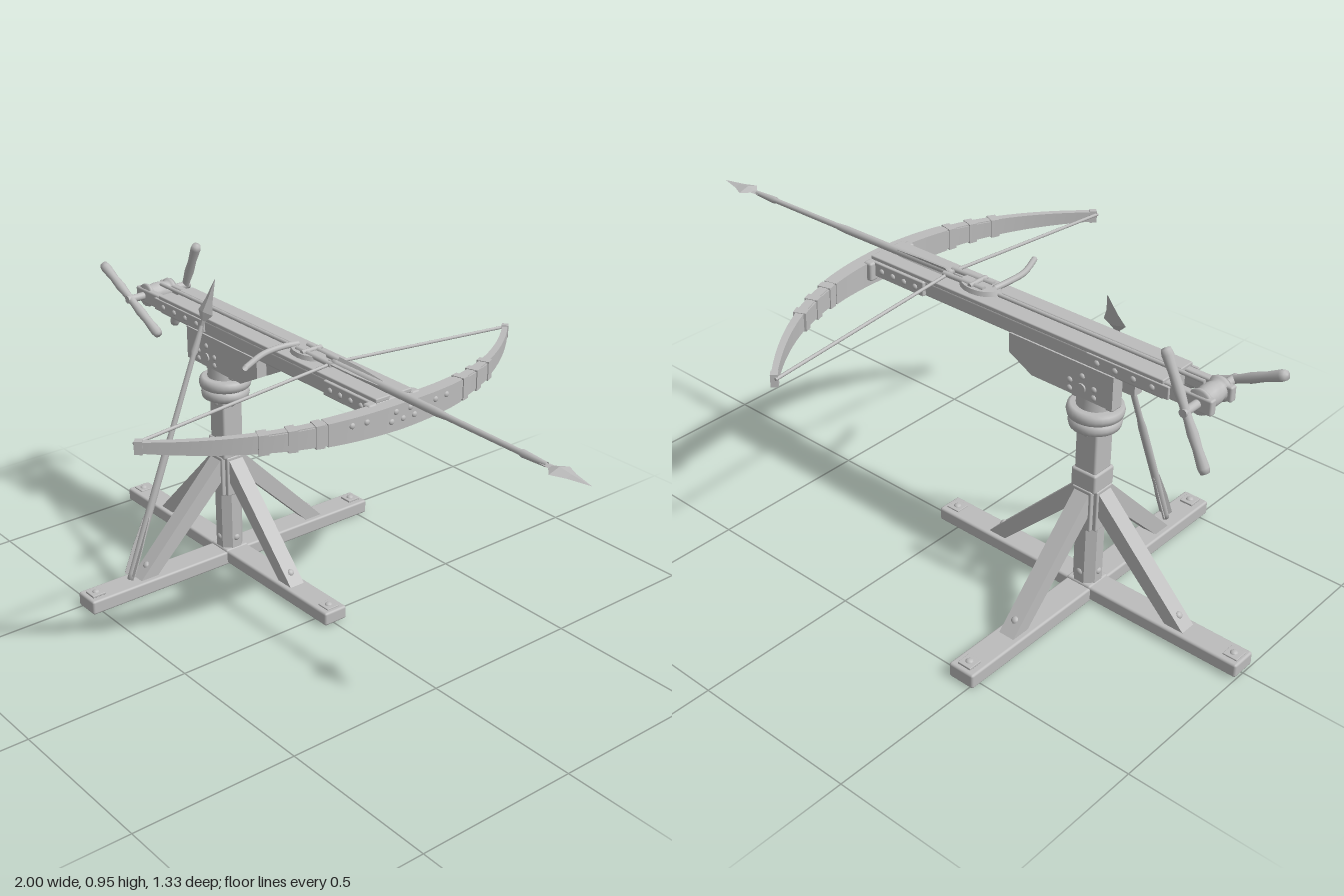
import * as THREE from 'three';
import { RoundedBoxGeometry } from 'three/addons/geometries/RoundedBoxGeometry.js';

const grey = new THREE.MeshStandardMaterial({ color: 0xbcbcbc, side: THREE.DoubleSide });
grey.name = 'plain grey';
const PX = -0.47; // x of the standing post

function add(parent, name, geo, x = 0, y = 0, z = 0) {
  const m = new THREE.Mesh(geo, grey);
  m.name = name;
  m.position.set(x, y, z);
  parent.add(m);
  return m;
}
// Softly rounded box given by its limits on each axis
function block(parent, name, x0, x1, y0, y1, z0, z1) {
  const w = x1 - x0, h = y1 - y0, d = z1 - z0;
  const geo = new RoundedBoxGeometry(w, h, d, 2, Math.min(0.007, 0.25 * Math.min(w, h, d)));
  return add(parent, name, geo, (x0 + x1) / 2, (y0 + y1) / 2, (z0 + z1) / 2);
}
// Round rod between two points
function rod(parent, name, a, b, r, sides = 10) {
  const A = new THREE.Vector3(...a), B = new THREE.Vector3(...b), d = B.clone().sub(A);
  const m = add(parent, name, new THREE.CylinderGeometry(r, r, d.length(), sides));
  m.position.copy(A).lerp(B, 0.5);
  m.quaternion.setFromUnitVectors(new THREE.Vector3(0, 1, 0), d.normalize());
}
const lathe = (pts, sides) => new THREE.LatheGeometry(pts.map(p => new THREE.Vector2(...p)), sides);
const outline = pts => new THREE.Shape(pts.map(p => new THREE.Vector2(...p)));
const plate = (pts, depth) => new THREE.ExtrudeGeometry(outline(pts), { depth, bevelEnabled: false });
// Flattened bolt head facing along a direction
function stud(parent, pos, dir, r = 0.009) {
  const m = add(parent, 'stud', new THREE.SphereGeometry(r, 10, 5, 0, Math.PI * 2, 0, Math.PI / 2), ...pos);
  m.scale.y = 0.7;
  m.quaternion.setFromUnitVectors(new THREE.Vector3(0, 1, 0), new THREE.Vector3(...dir).normalize());
}

// Spear standing along +y with its tail at the origin and a flat head wide in z
function makeSpear(name) {
  const g = new THREE.Group();
  g.name = name;
  add(g, 'shaft', lathe([[0, 0], [0.01, 0], [0.01, 0.02], [0.012, 0.2], [0.012, 0.42], [0.009, 0.46], [0.008, 0.72], [0.011, 0.73], [0.007, 0.81]], 10));
  const head = lathe([[0.008, 0.79], [0.012, 0.825], [0.036, 0.85], [0.018, 0.89], [0, 0.956]], 4).toNonIndexed();
  head.scale(0.3, 1, 1);
  head.computeVertexNormals();
  add(g, 'spearhead', head);
  for (let i = 0; i < 3; i++) {
    const v = add(g, 'vane', plate([[0, 0.01], [0.021, 0.015], [0.02, 0.1], [0.013, 0.2], [0, 0.25]], 0.004));
    v.rotation.y = Math.PI / 6 + i * Math.PI * 2 / 3;
  }
  return g;
}

// Crossed feet, post and four braces
function makeStand() {
  const g = new THREE.Group();
  g.name = 'stand';
  block(g, 'footBeam', PX - 0.53, PX + 0.533, 0.006, 0.048, -0.04, 0.04);
  block(g, 'crossBeam', PX - 0.042, PX + 0.042, 0, 0.045, -0.533, 0.533);
  block(g, 'centreJoint', PX - 0.042, PX + 0.042, 0.002, 0.052, -0.042, 0.042);
  const post = add(g, 'lowerPost', new THREE.CylinderGeometry(0.042, 0.042, 0.33, 8).toNonIndexed(), PX, 0.21, 0);
  post.geometry.computeVertexNormals();
  post.rotation.y = Math.PI / 8;
  block(g, 'postCollar', PX - 0.042, PX + 0.042, 0.365, 0.425, -0.042, 0.042);
  block(g, 'upperPost', PX - 0.036, PX + 0.036, 0.42, 0.56, -0.036, 0.036);

  for (let i = 0; i < 4; i++) {
    const arm = new THREE.Group();
    arm.name = 'braceArm';
    arm.position.x = PX;
    arm.rotation.y = i * Math.PI / 2;
    // Brace cut flush with the foot and the post
    add(arm, 'brace', plate([[0.35, 0.045], [0.29, 0.045], [0.035, 0.295], [0.035, 0.37]], 0.05), 0, 0, -0.025);
    block(arm, 'braceBracket', 0.03, 0.045, 0.24, 0.37, -0.033, 0.033);
    block(arm, 'footPlate', 0.475, 0.52, 0.045, 0.052, -0.022, 0.022);
    stud(arm, [0.497, 0.05, 0], [0, 1, 0], 0.012);
    stud(arm, [0.315, 0.079, 0], [1, 1, 0], 0.011);
    stud(arm, [0.037, 0.085, 0], [1, 0, 0], 0.011);
    stud(arm, [0.035, 0.545, 0], [1, 0, 0], 0.011);
    g.add(arm);
  }
  return g;
}

// Turning rings and the cheeks that hold the stock
function makeSwivel() {
  const g = new THREE.Group();
  g.name = 'swivel';
  for (const [y, r, h] of [[0.575, 0.074, 0.018], [0.609, 0.08, 0.018]]) {
    add(g, 'swivelRing', lathe([[0, -h], [r - 0.012, -h], [r - 0.003, -h * 0.7], [r, 0], [r - 0.003, h * 0.7], [r - 0.012, h], [0, h]], 28), PX, y, 0);
  }
  add(g, 'swivelNeck', new THREE.CylinderGeometry(0.05, 0.055, 0.06, 20), PX, 0.645, 0);
  block(g, 'tongue', PX - 0.07, PX + 0.07, 0.63, 0.77, -0.022, 0.022);
  const cheek = [[-0.57, 0.67], [-0.3, 0.67], [-0.22, 0.712], [-0.22, 0.77], [-0.57, 0.77]];
  for (const k of [-1, 1]) {
    add(g, 'cheek', plate(cheek, 0.034), 0, 0, k * 0.048 - 0.017);
    for (const [x, y] of [[-0.51, 0.71], [-0.43, 0.71], [-0.47, 0.735], [-0.51, 0.685], [-0.43, 0.685]]) stud(g, [x, y, k * 0.065], [0, 0, k]);
  }
  rod(g, 'pivotPin', [PX, 0.7, -0.07], [PX, 0.7, 0.07], 0.014);
  return g;
}

// Stock with rails, side plates and trigger
function makeStock() {
  const g = new THREE.Group();
  g.name = 'stock';
  block(g, 'stockBeam', -0.72, 0.3, 0.765, 0.812, -0.06, 0.06);
  for (const k of [-1, 1]) {
    const side = (n, x0, x1, y0, y1, a, b) => block(g, n, x0, x1, y0, y1, Math.min(k * a, k * b), Math.max(k * a, k * b));
    side('topRail', -0.72, 0.3, 0.81, 0.823, 0.014, 0.063);
    side('tailFork', -0.86, -0.7, 0.77, 0.815, 0.032, 0.055);
    side('rearPlate', -0.74, -0.48, 0.775, 0.812, 0.058, 0.067);
    side('frontPlate', 0.09, 0.3, 0.768, 0.812, 0.058, 0.072);
    side('bowBracket', 0.275, 0.305, 0.755, 0.812, 0.06, 0.09);
    for (let i = 0; i < 4; i++) {
      stud(g, [-0.69 + i * 0.058, 0.793, k * 0.067], [0, 0, k]);
      stud(g, [0.12 + i * 0.043, 0.79, k * 0.072], [0, 0, k]);
    }
  }
  const lock = add(g, 'triggerLock', new THREE.CylinderGeometry(0.042, 0.046, 0.016, 16), -0.06, 0.828, 0);
  lock.scale.x = 1.5;
  for (const k of [-1, 1]) rod(g, 'claw', [-0.09, 0.836, k * 0.02], [0.06, 0.832, k * 0.018], 0.008);
  rod(g, 'triggerPin', [-0.05, 0.838, -0.035], [-0.05, 0.838, 0.035], 0.007);
  const path = new THREE.CatmullRomCurve3([[-0.11, 0.838, 0], [-0.115, 0.84, 0.05], [-0.11, 0.838, 0.12], [-0.07, 0.832, 0.215]].map(p => new THREE.Vector3(...p)));
  add(g, 'triggerLever', new THREE.TubeGeometry(path, 16, 0.009, 8));
  rod(g, 'drawRope', [-0.8, 0.824, 0], [-0.1, 0.824, 0], 0.006);
  return g;
}

// Winch drum with a two-ended handle on each side
function makeWinch() {
  const g = new THREE.Group();
  g.name = 'winch';
  g.position.set(-0.818, 0.793, 0);
  rod(g, 'axle', [0, 0, -0.115], [0, 0, 0.115], 0.012, 14);
  const drum = add(g, 'drum', lathe([[0, -0.052], [0.034, -0.05], [0.037, -0.042], [0.034, -0.034], [0.028, -0.03], [0.032, -0.01], [0.032, 0.01], [0.028, 0.03], [0.034, 0.034], [0.037, 0.042], [0.034, 0.05], [0, 0.052]], 18));
  drum.rotation.x = Math.PI / 2;
  const profile = [[0, -0.168], [0.013, -0.165], [0.016, -0.15], [0.013, -0.1], [0.015, -0.06], [0.012, -0.02], [0.012, 0.02], [0.015, 0.06], [0.013, 0.1], [0.016, 0.15], [0.013, 0.165], [0, 0.168]];
  for (const [z, a] of [[0.102, 1.12], [-0.102, -0.445]]) add(g, 'handle', lathe(profile, 12), 0, 0, z).rotation.z = a;
  return g;
}

// Curved bow with layered centre, bands, studs and string
function makeBow() {
  const g = new THREE.Group();
  g.name = 'bow';
  const L = 0.655;
  const midX = z => 0.315 - 0.26 * Math.pow(Math.abs(z) / L, 2.36);
  const halfY = z => 0.036 - 0.021 * Math.pow(Math.abs(z) / L, 1.4);
  // Bend a segmented bar from z0 to z1 along the curve
  const bar = (name, z0, z1, thick, extra) => {
    const geo = new THREE.BoxGeometry(2, 2, 1, 1, 1, Math.max(2, Math.ceil((z1 - z0) * 40)));
    const p = geo.attributes.position;
    for (let i = 0; i < p.count; i++) {
      const z = z0 + (z1 - z0) * (p.getZ(i) + 0.5);
      const slope = (midX(z + 0.002) - midX(z - 0.002)) / 0.004, n = Math.hypot(1, slope);
      const t = p.getX(i) * (thick - 0.009 * Math.abs(z) / L);
      p.setXYZ(i, midX(z) + t / n, 0.772 + p.getY(i) * (halfY(z) + extra), z - t * slope / n);
    }
    geo.computeVertexNormals();
    add(g, name, geo);
  };
  bar('bowLimbs', -L, L, 0.017, 0);
  bar('bowReinforcement', -0.4, 0.4, 0.021, -0.003);
  bar('bowCentre', -0.23, 0.23, 0.023, 0.001);
  for (const k of [-1, 1]) {
    for (const z of [0.25, 0.32, 0.39]) bar('bowBand', k * z - 0.012, k * z + 0.012, 0.024, 0.002);
    bar('bowTip', k * 0.648 - 0.008, k * 0.648 + 0.008, 0.019, 0.003);
    for (const z of [0.12, 0.165]) stud(g, [midX(z) + 0.02, 0.785, k * z], [1, 0, 0]);
    rod(g, 'bowstring', [0.05, 0.778, k * 0.655], [0.05, 0.832, 0], 0.005, 8);
  }
  for (const [y, z] of [[0.79, -0.025], [0.79, 0.025], [0.765, -0.04], [0.765, 0], [0.765, 0.04]]) stud(g, [0.336, y, z], [1, 0, 0]);
  return g;
}

export function createModel() {
  const model = new THREE.Group();
  model.name = 'ballista';
  model.add(makeStand(), makeSwivel(), makeStock(), makeWinch(), makeBow());

  const loaded = makeSpear('loadedSpear');
  loaded.position.set(0.045, 0.83, 0);
  loaded.rotation.z = -Math.PI / 2 - 0.008;
  model.add(loaded);

  const leaning = makeSpear('leaningSpear');
  leaning.position.set(PX, 0.05, 0.375);
  leaning.rotation.set(-Math.atan2(0.35, 0.89), Math.PI / 2, 0);
  model.add(leaning);
  return model;
}
